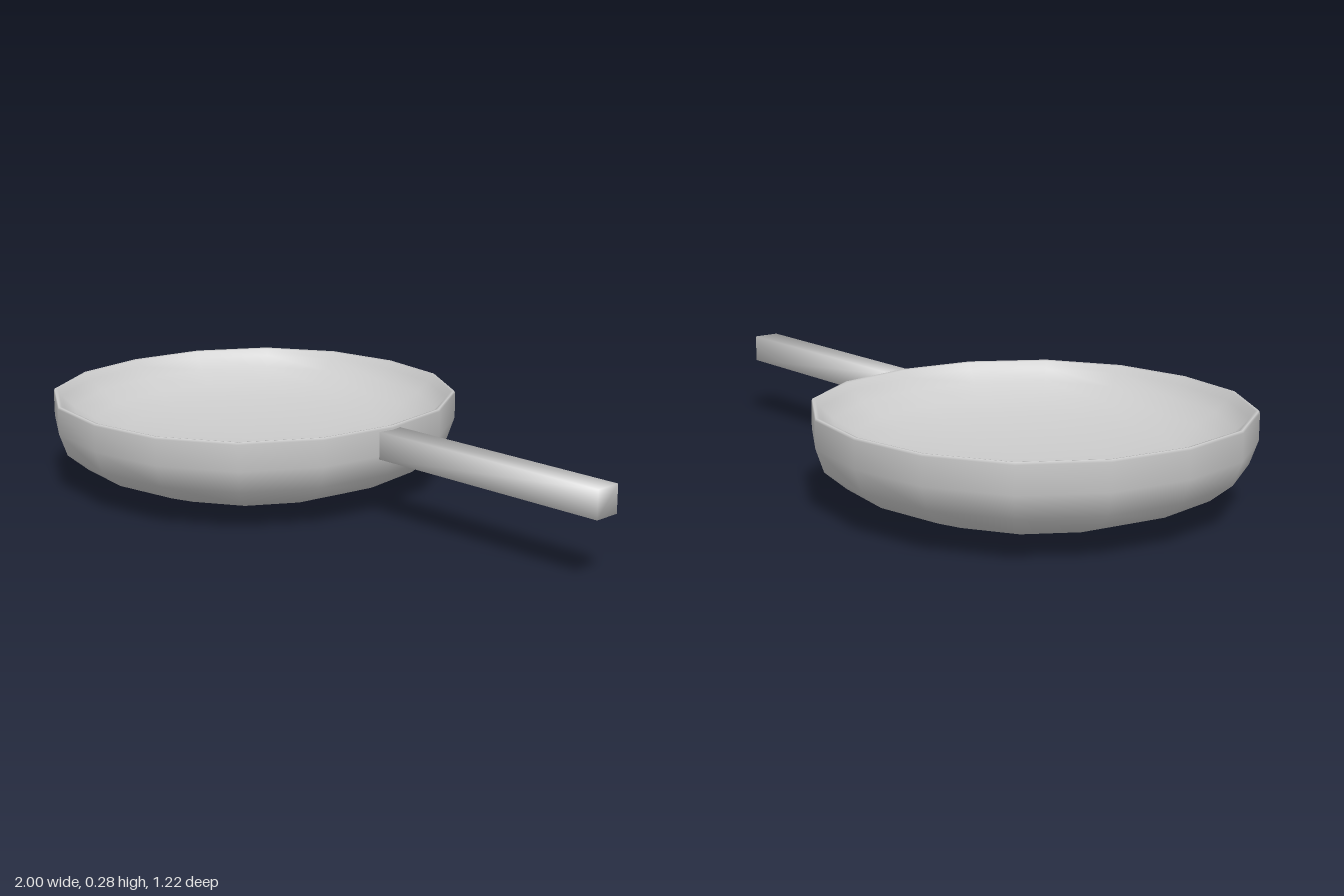
import * as THREE from 'three';
import { mergeVertices } from 'three/addons/utils/BufferGeometryUtils.js';

const material = new THREE.MeshStandardMaterial({ color: 0xcccccc });

// Weld shared corners so the whole surface shades smoothly
function smooth(geometry) {
  geometry.deleteAttribute('normal');
  geometry.deleteAttribute('uv');
  const welded = mergeVertices(geometry, 1e-4);
  welded.computeVertexNormals();
  return welded;
}

// Push the diagonals out a little: the bowl is a softly squared circle
function squareOff(geometry) {
  const pos = geometry.attributes.position;
  for (let i = 0; i < pos.count; i++) {
    const x = pos.getX(i), z = pos.getZ(i);
    const k = 1 + 0.03 * Math.sin(2 * Math.atan2(z, x)) ** 2;
    pos.setXYZ(i, x * k, pos.getY(i), z * k);
  }
  return geometry;
}

// Rounded corner shading for the bar
function cornerNormals(geometry) {
  const pos = geometry.attributes.position;
  const n = new THREE.Vector3();
  for (let i = 0; i < pos.count; i++) {
    n.fromBufferAttribute(pos, i);
    n.set(Math.sign(n.x), Math.sign(n.y), Math.sign(n.z)).normalize();
    geometry.attributes.normal.setXYZ(i, n.x, n.y, n.z);
  }
  return geometry;
}

function addPart(group, name, geometry, x, y, z) {
  const mesh = new THREE.Mesh(geometry, material);
  mesh.name = name;
  mesh.position.set(x, y, z);
  group.add(mesh);
}

export function createModel() {
  const group = new THREE.Group();
  group.name = 'fryingPan';

  // Bowl: outer wall from the base up, over a thin rim, then a rounded dish
  const profile = [
    [0, 0.003], [0.227, 0.012], [0.407, 0.036], [0.525, 0.08],
    [0.587, 0.132], [0.61, 0.2], [0.61, 0.278], [0.607, 0.285],
    [0.597, 0.283], [0.585, 0.262], [0.55, 0.228], [0.49, 0.192],
    [0.4, 0.162], [0.22, 0.14], [0, 0.133],
  ].map(([r, y]) => new THREE.Vector2(r, y));
  addPart(group, 'panBowl', smooth(squareOff(new THREE.LatheGeometry(profile, 16))), -0.39, 0, 0);

  // Handle: square bar meeting the side of the bowl
  const start = 0.205, end = 1;
  addPart(group, 'handle', cornerNormals(new THREE.BoxGeometry(end - start, 0.082, 0.082)),
    (start + end) / 2, 0.232, 0.005);

  return group;
}
